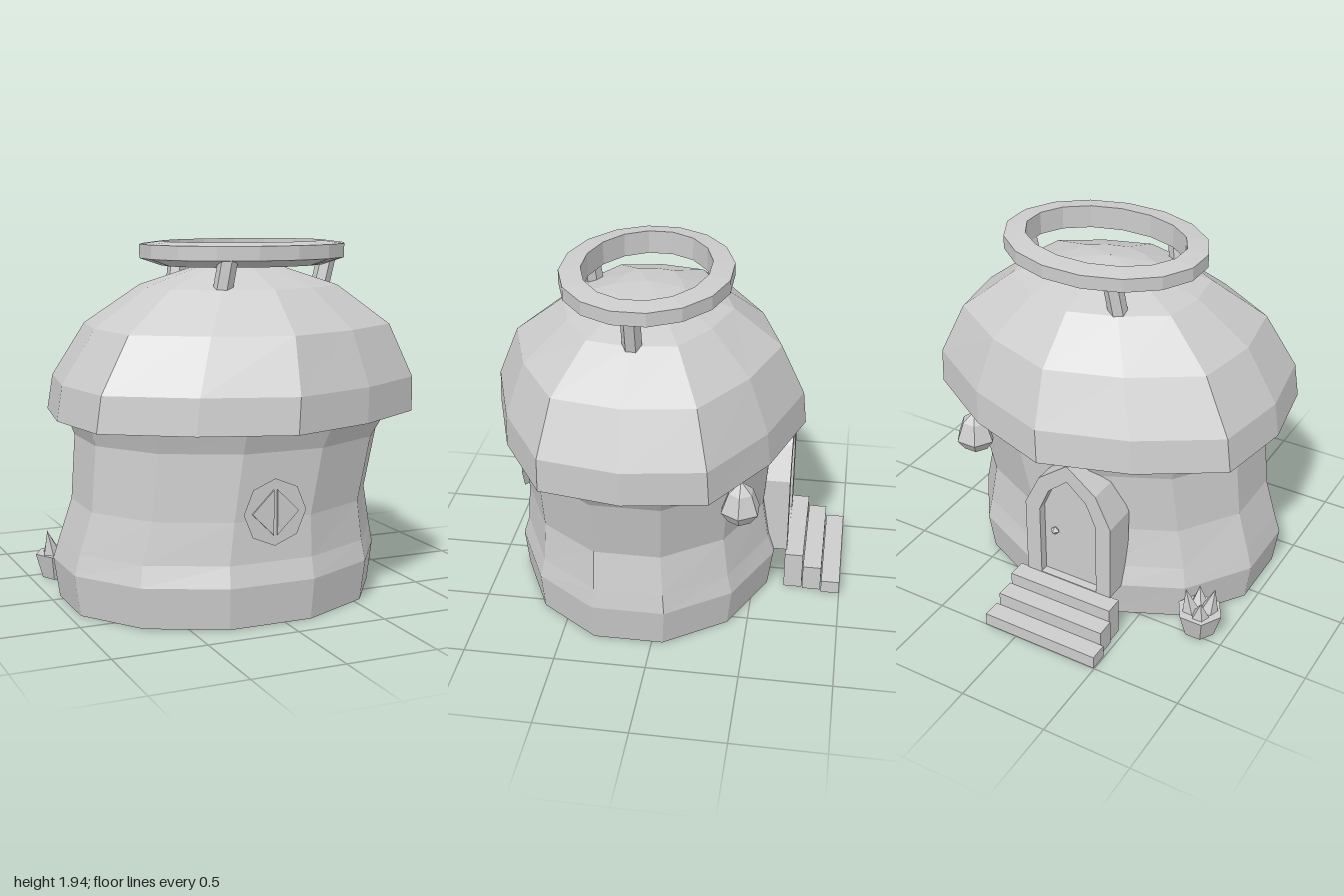
import * as THREE from 'three';

const stone = new THREE.MeshStandardMaterial({ color: 0xcccccc, side: THREE.DoubleSide });
stone.name = 'pale grey';

// Flat facets: split the vertices and recompute the normals
function facet(geometry) {
  const g = geometry.index ? geometry.toNonIndexed() : geometry;
  g.computeVertexNormals();
  return g;
}

function add(parent, name, geometry, x = 0, y = 0, z = 0) {
  const mesh = new THREE.Mesh(facet(geometry), stone);
  mesh.name = name;
  mesh.position.set(x, y, z);
  parent.add(mesh);
  return mesh;
}

// Unit polygon [x, z] running from +z towards +x
function polygon(sides, phase = 0) {
  return Array.from({ length: sides }, (_, i) => {
    const a = ((i + phase) / sides) * Math.PI * 2;
    return [Math.sin(a), Math.cos(a)];
  });
}

// Skin over rings given as [y, centreX, centreZ, radiusX, radiusZ]
function loft(unit, rings) {
  const n = unit.length, pos = [], index = [];
  for (const [y, cx, cz, rx, rz] of rings)
    for (const [ux, uz] of unit) pos.push(cx + ux * rx, y, cz + uz * rz);
  for (let j = 0; j < rings.length - 1; j++)
    for (let i = 0; i < n; i++) {
      const a = j * n + i, b = j * n + ((i + 1) % n);
      index.push(a, b, b + n, a, b + n, a + n);
    }
  const g = new THREE.BufferGeometry();
  g.setAttribute('position', new THREE.Float32BufferAttribute(pos, 3));
  g.setIndex(index);
  return g;
}

function shapeOf(points) {
  return new THREE.Shape(points.map(([x, y]) => new THREE.Vector2(x, y)));
}

// Pointed arch outline, centred on x = 0
function arch(half, bottom, spring, apex) {
  const shoulder = spring + (apex - spring) * 0.58;
  return [[-half, bottom], [half, bottom], [half, spring], [half * 0.66, shoulder],
    [0, apex], [-half * 0.66, shoulder], [-half, spring]];
}

function extrude(shape, depth) {
  return new THREE.ExtrudeGeometry(shape, { depth, bevelEnabled: false });
}

// Six-sided rod between two points
function rod(parent, name, from, to, radius) {
  const a = new THREE.Vector3(...from), b = new THREE.Vector3(...to);
  const mesh = add(parent, name, new THREE.CylinderGeometry(radius, radius, a.distanceTo(b), 6));
  mesh.position.copy(a).lerp(b, 0.5);
  mesh.quaternion.setFromUnitVectors(new THREE.Vector3(0, 1, 0), b.sub(a).normalize());
  return mesh;
}

export function createModel() {
  const house = new THREE.Group();
  house.name = 'roundHouse';

  // Waisted twelve-sided wall, open below and leaning slightly
  const k = 1 / Math.cos(Math.PI / 12);
  add(house, 'wall', loft(polygon(12, 0.5), [
    [0, -0.08, 0.13, 0.86, 0.71], [0.22, -0.08, 0.125, 0.89, 0.735],
    [0.33, -0.073, 0.125, 0.865, 0.7], [0.55, -0.058, 0.135, 0.81, 0.675],
    [0.9, -0.005, 0.125, 0.835, 0.695], [1.01, 0.01, 0.125, 0.89, 0.735],
  ].map(([y, x, z, rx, rz]) => [y, x, z, rx * k, rz * k])));

  // Domed roof with a flat underside
  const quarter = [[0, 1], [0.49, 0.815], [0.925, 0.505], [1, 0]];
  const half = [...quarter, ...quarter.slice(0, 3).reverse().map(([x, z]) => [x, -z])];
  const outline = [...half, ...half.slice(1, 6).reverse().map(([x, z]) => [-x, z])];
  add(house, 'roof', loft(outline, [
    [1.005, 0, 0.12, 0.8, 0.68], [1.01, -0.005, 0.122, 0.985, 0.87],
    [1.2, 0.01, 0.125, 0.97, 0.855], [1.49, 0.035, 0.13, 0.815, 0.73],
    [1.7, 0.05, 0.127, 0.53, 0.465], [1.8, 0.05, 0.12, 0.24, 0.19],
    [1.83, 0.05, 0.12, 0.001, 0.001],
  ]));

  // Sixteen-sided oval ring on three posts
  const q = 1 / Math.cos(Math.PI / 16);
  const ringAt = (y, inset) => [y, 0.083, 0.122, (0.572 - inset) * q, (0.453 - inset) * q];
  add(house, 'roofRing', loft(polygon(16, 0.5), [
    ringAt(1.81, 0.115), ringAt(1.85, 0), ringAt(1.925, 0), ringAt(1.94, 0.115), ringAt(1.81, 0.115),
  ]));
  rod(house, 'ringPost', [0.55, 1.66, 0.122], [0.6, 1.86, 0.122], 0.052);
  for (const s of [-1, 1])
    rod(house, 'ringPost', [-0.19, 1.68, 0.125 + s * 0.335], [-0.165, 1.86, 0.125 + s * 0.355], 0.052);

  // Octagonal window tapering into the wall, with two triangular panes
  const win = new THREE.Group();
  win.name = 'window';
  win.position.set(-0.075, 0.6, 0.87);
  house.add(win);
  const frame = new THREE.CylinderGeometry(0.175, 0.03, 0.25, 8).rotateX(Math.PI / 2);
  add(win, 'windowFrame', frame, 0, 0, -0.125);
  for (const s of [-1, 1])
    add(win, 'windowPane', extrude(shapeOf([[s * 0.01, -0.118], [s * 0.13, 0], [s * 0.01, 0.118]]), 0.009));

  // Arched doorway at the back
  const door = new THREE.Group();
  door.name = 'doorway';
  door.position.x = -0.15;
  house.add(door);
  const surround = shapeOf(arch(0.265, 0.22, 0.68, 1.0));
  surround.holes.push(new THREE.Path(shapeOf(arch(0.175, 0.225, 0.66, 0.9)).getPoints()));
  add(door, 'doorFrame', extrude(surround, 0.2), 0, 0, -0.685);
  add(door, 'doorPanel', extrude(shapeOf(arch(0.18, 0.222, 0.66, 0.905)), 0.06), 0, 0, -0.635);
  add(door, 'doorKnob', new THREE.OctahedronGeometry(0.028), 0.1, 0.52, -0.655);

  // Three steps, widening towards the ground
  [[0.63, 0.22, -0.73], [0.65, 0.15, -0.838], [0.69, 0.075, -0.947]].forEach(([w, h, z]) =>
    add(door, 'step', new THREE.BoxGeometry(w, h, 0.104), 0, h / 2, z));

  // Faceted lantern under the eaves
  add(house, 'lantern', loft(polygon(6, 0.5), [
    [0.74, 0, 0, 0.001, 0.001], [0.74, 0, 0, 0.075, 0.07], [0.8, 0, 0, 0.115, 0.112],
    [0.91, 0, 0, 0.075, 0.07], [0.97, 0, 0, 0.001, 0.001],
  ]), 0.6, 0, -0.45);

  // Planter with pointed sprouts
  const planter = new THREE.Group();
  planter.name = 'planter';
  planter.position.set(-0.84, 0, -0.44);
  house.add(planter);
  add(planter, 'pot', new THREE.CylinderGeometry(0.13, 0.09, 0.14, 6).rotateY(Math.PI / 6), 0, 0.07, 0);
  for (let i = 0; i < 4; i++) {
    const a = (i / 4) * Math.PI * 2 + 0.5, h = i % 2 ? 0.15 : 0.11;
    const sprout = add(planter, 'sprout', new THREE.ConeGeometry(0.052, h, 5),
      Math.sin(a) * 0.065, 0.135 + h / 2, Math.cos(a) * 0.065);
    sprout.rotation.set(Math.cos(a) * 0.2, 0, -Math.sin(a) * 0.2);
  }

  return house;
}
